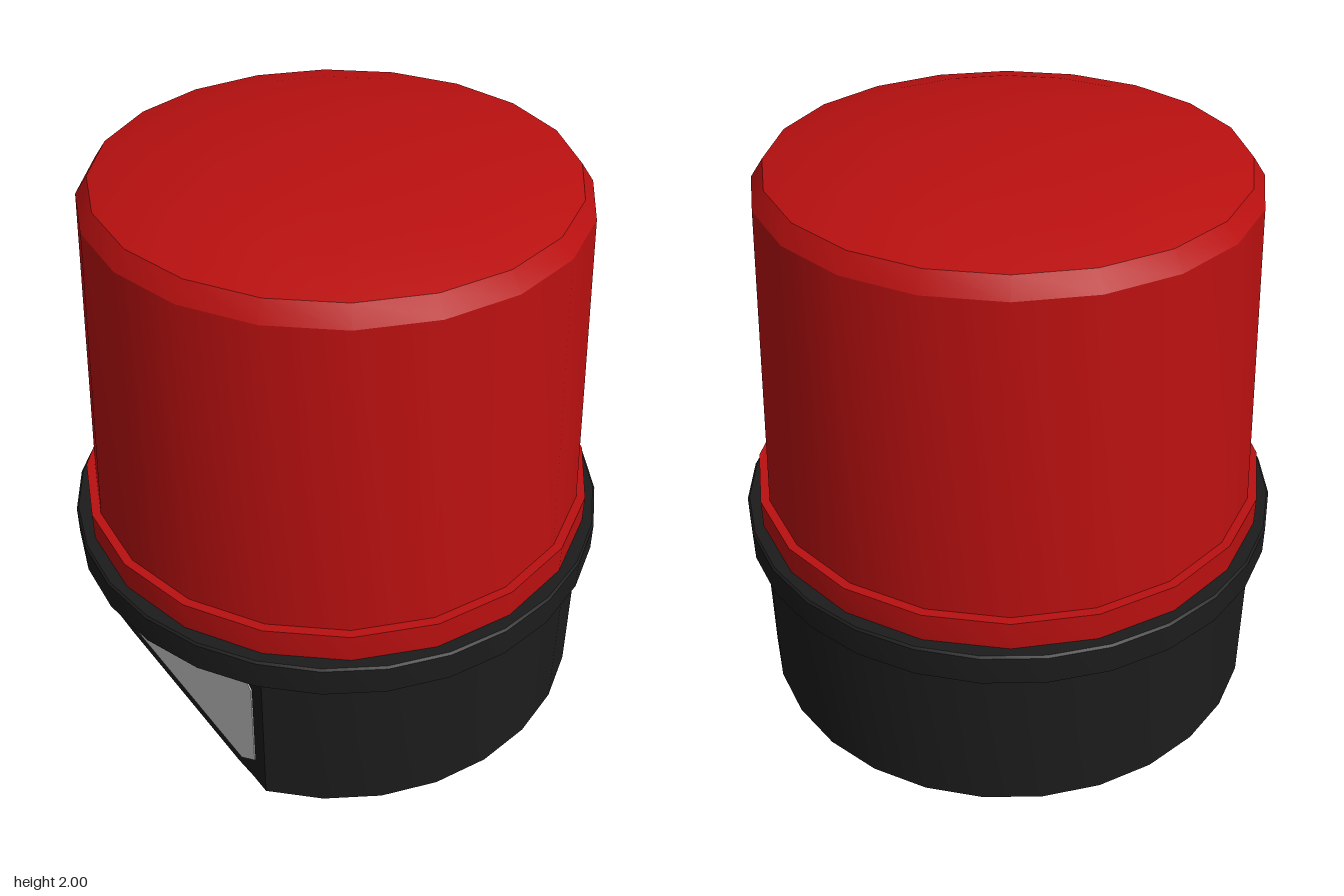
import * as THREE from 'three';
import { toCreasedNormals } from 'three/addons/utils/BufferGeometryUtils.js';

const RED = new THREE.MeshStandardMaterial({ color: 0xba1010 });
const BLACK = new THREE.MeshStandardMaterial({ color: 0x1c1c1c });
const GREY = new THREE.MeshStandardMaterial({ color: 0xcccccc });

const CREASE = THREE.MathUtils.degToRad(25);
const FLAT_Z = 0.688; // depth of the flattened front of the base

function lathe(profile, sides, phi = 0) {
  return new THREE.LatheGeometry(profile.map(([r, y]) => new THREE.Vector2(r, y)), sides, phi);
}

function part(name, geometry, material) {
  const mesh = new THREE.Mesh(toCreasedNormals(geometry, CREASE), material);
  mesh.name = name;
  return mesh;
}

export function createModel() {
  const model = new THREE.Group();
  model.name = 'warningLight';

  // Round base, with its front pushed back to a flat face
  const base = lathe([[0, 0], [0.87, 0], [0.88, 0.01], [0.88, 0.58], [0, 0.58]], 28);
  const pos = base.attributes.position;
  for (let i = 0; i < pos.count; i++) pos.setZ(i, Math.min(pos.getZ(i), FLAT_Z));
  model.add(part('base', base, BLACK));

  // Flange between base and lens
  model.add(part('flange', lathe([
    [0, 0.57], [0.915, 0.57], [0.922, 0.577], [0.922, 0.678], [0.915, 0.685], [0, 0.685],
  ], 28), BLACK));

  // Tapered lens with a foot ring, bevelled shoulder and shallow dome
  model.add(part('lens', lathe([
    [0, 0.68], [0.88, 0.68], [0.88, 0.785], [0.85, 0.785], [0.8, 1.85],
    [0.76, 1.91], [0.6, 1.953], [0.38, 1.98], [0, 2],
  ], 20, THREE.MathUtils.degToRad(3.3)), RED));

  // Blank label plate with cut corners on the flat face
  const [w, y0, y1, cx, cy] = [0.49, 0.045, 0.53, 0.085, 0.07];
  const outline = new THREE.Shape([
    [-w + cx, y0], [w - cx, y0], [w, y0 + cy], [w, y1 - cy],
    [w - cx, y1], [-w + cx, y1], [-w, y1 - cy], [-w, y0 + cy],
  ].map(([x, y]) => new THREE.Vector2(x, y)));
  const plate = new THREE.ExtrudeGeometry(outline, { depth: 0.01, bevelEnabled: false });
  plate.translate(0, 0, FLAT_Z - 0.006);
  model.add(part('labelPlate', plate, GREY));

  return model;
}
